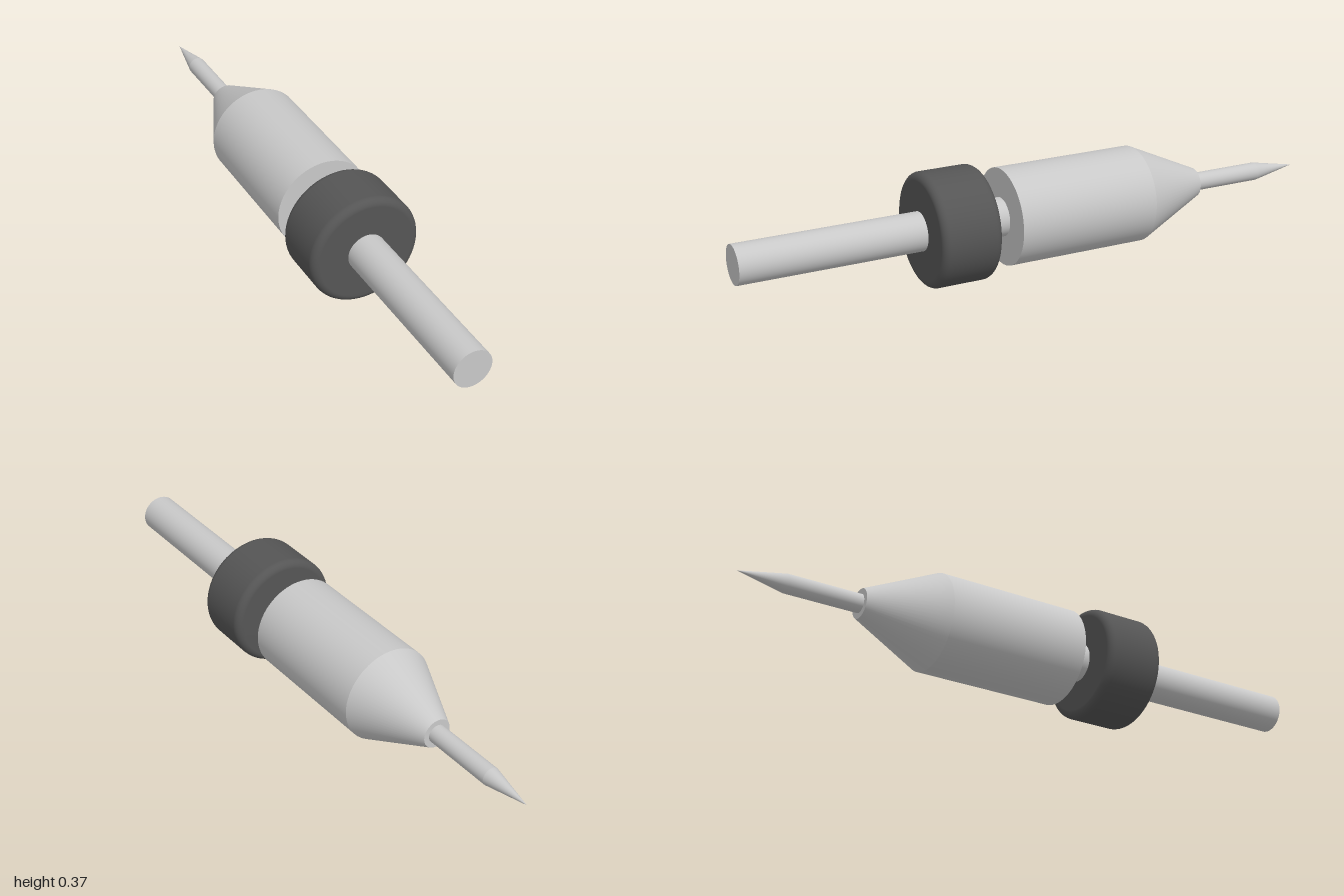
import * as THREE from 'three';

const AXIS_Y = 0.184;

export function createModel() {
  const model = new THREE.Group();
  const metal = new THREE.MeshStandardMaterial({ color: 0xc8c8c8 });
  metal.name = 'light metal';
  const rubber = new THREE.MeshStandardMaterial({ color: 0x555555 });
  rubber.name = 'dark rubber';

  function add(name, geometry, material, z) {
    geometry.rotateX(Math.PI / 2); // lay the part along z
    const mesh = new THREE.Mesh(geometry, material);
    mesh.name = name;
    mesh.position.set(0, AXIS_Y, z);
    model.add(mesh);
  }

  // Round section from zBack to zFront with a radius at each end
  function section(name, rBack, rFront, zBack, zFront) {
    const geometry = new THREE.CylinderGeometry(rFront, rBack, zFront - zBack, 64);
    add(name, geometry, metal, (zBack + zFront) / 2);
  }

  section('rearShaft', 0.063, 0.063, 0.1, 1);
  section('body', 0.158, 0.158, -0.36, 0.12);
  section('taperedNose', 0.048, 0.158, -0.6, -0.36);
  section('needle', 0.03, 0.03, -0.845, -0.6);
  section('needleTip', 0, 0.03, -1, -0.845);

  // Collar with rounded rims
  const R = 0.184, half = 0.1, round = 0.025;
  const profile = [new THREE.Vector2(0, -half), new THREE.Vector2(0.1, -half)];
  for (const side of [-1, 1]) {
    for (let i = 0; i <= 8; i++) {
      const a = (side < 0 ? i - 8 : i) / 8 * Math.PI / 2;
      profile.push(new THREE.Vector2(
        R - round + round * Math.cos(a),
        side * (half - round) + round * Math.sin(a)
      ));
    }
  }
  profile.push(new THREE.Vector2(0.1, half), new THREE.Vector2(0, half));
  add('collar', new THREE.LatheGeometry(profile, 64), rubber, 0.3);

  return model;
}
